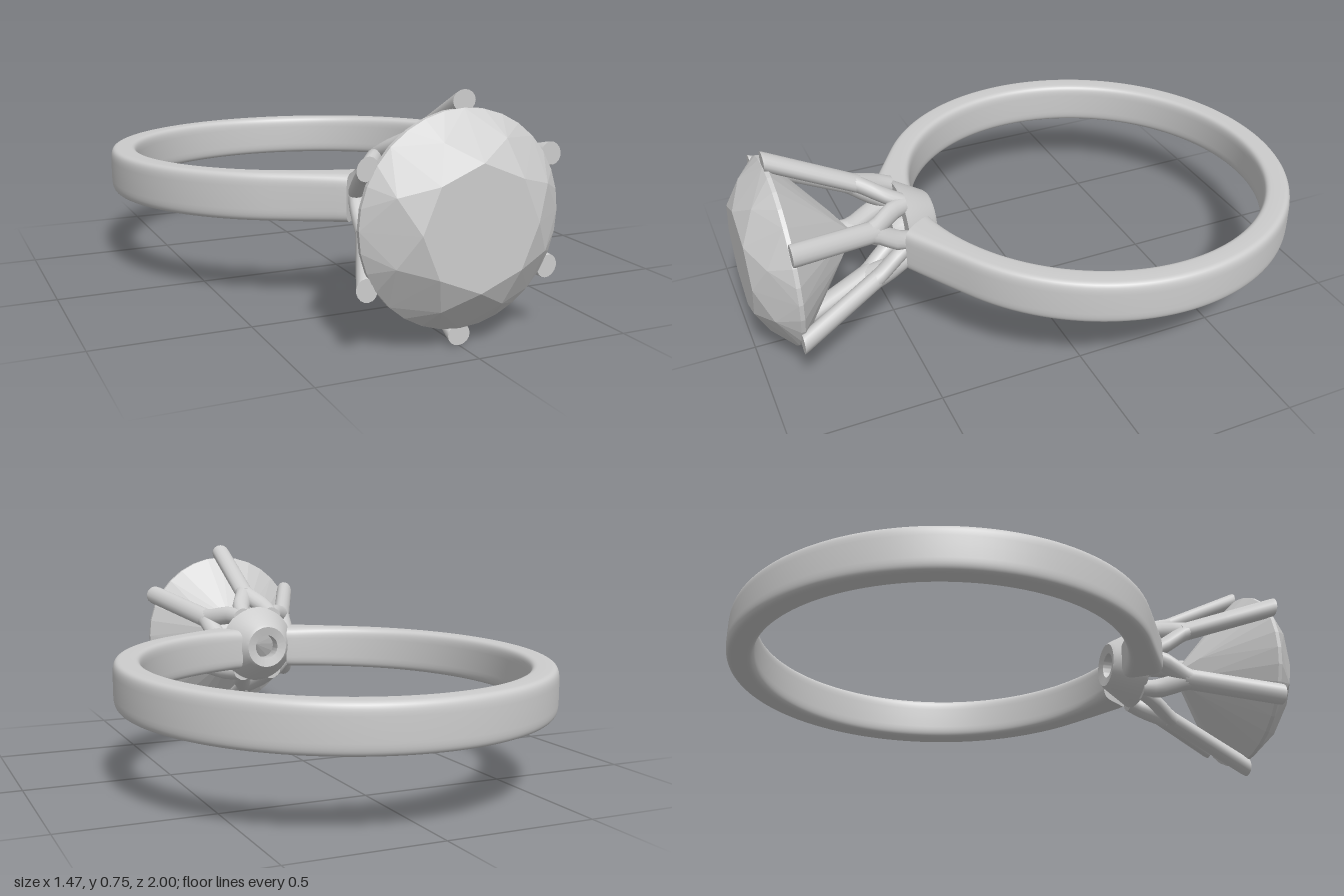
import * as THREE from 'three';
import { toCreasedNormals } from 'three/addons/utils/BufferGeometryUtils.js';
import { ConvexGeometry } from 'three/addons/geometries/ConvexGeometry.js';

const rad = THREE.MathUtils.degToRad;
const AXIS_Y = 0.375; // height of the setting's axis

// Skin a list of closed cross-sections, with flat caps at both ends
function loft(sections) {
  const n = sections[0].length, last = sections.length - 1;
  const points = sections.flat(), index = [];
  for (let i = 0; i < last; i++) {
    for (let j = 0; j < n; j++) {
      const k = (j + 1) % n;
      const a = i * n + j, b = i * n + k, c = b + n, d = a + n;
      index.push(a, b, c, a, c, d);
    }
  }
  for (const [section, isEnd] of [[sections[0], false], [sections[last], true]]) {
    const base = points.length;
    points.push(...section);
    for (let j = 1; j < n - 1; j++) {
      index.push(base, base + (isEnd ? j : j + 1), base + (isEnd ? j + 1 : j));
    }
  }
  const geometry = new THREE.BufferGeometry().setFromPoints(points);
  geometry.setIndex(index);
  geometry.computeVertexNormals();
  return geometry;
}

// Open band: inner circle, outer side running off on a tangent towards the setting
function bandGeometry() {
  const sections = [], steps = 128, sides = 40, centreZ = -0.265;
  const soft = (v) => Math.sign(v) * Math.pow(Math.abs(v), 0.4);
  for (let i = 0; i <= steps; i++) {
    const section = [];
    for (let j = 0; j < sides; j++) {
      const q = (j / sides) * Math.PI * 2;
      const u = (soft(Math.sin(q)) + 1) / 2;
      const start = rad(8.2 + 5.2 * u); // slanted cut at the ends
      const a = start + (Math.PI * 2 - 2 * start) * (i / steps);
      const fromFront = Math.min(a, Math.PI * 2 - a);
      const outer = 0.735 / Math.cos(Math.min(0, fromFront - rad(32.5)));
      const r = 0.642 + (outer - 0.642) * u;
      const z = centreZ + r * Math.cos(a);
      const y = 0.326 + 0.027 * (z + 1) + 0.078 * soft(Math.cos(q));
      section.push(new THREE.Vector3(r * Math.sin(a), y, z));
    }
    sections.push(section);
  }
  return loft(sections);
}

// Prong piece from stations [z, sideways offset, half width, half depth]
function prongGeometry(stations) {
  const sides = 16;
  return loft(stations.map(([z, offset, width, depth]) => {
    const r = 0.115 + ((z - 0.455) / 0.43) * 0.227;
    return Array.from({ length: sides }, (_, j) => {
      const q = (j / sides) * Math.PI * 2;
      return new THREE.Vector3(r + depth * Math.cos(q), offset + width * Math.sin(q), z);
    });
  }));
}

// Round brilliant: table, crown, girdle, pavilion and point
function gemGeometry() {
  const points = [new THREE.Vector3(0, 0, 0.62)];
  const ring = (count, r, z, turn = 0) => {
    for (let i = 0; i < count; i++) {
      const a = (i / count) * Math.PI * 2 + turn;
      points.push(new THREE.Vector3(r * Math.cos(a), r * Math.sin(a), z));
    }
  };
  ring(8, 0.185, 1);
  ring(8, 0.26, 0.953, Math.PI / 8);
  ring(32, 0.322, 0.886);
  ring(32, 0.322, 0.872);
  ring(8, 0.09, 0.685, Math.PI / 8);
  return new ConvexGeometry(points);
}

export function createModel() {
  const model = new THREE.Group();
  model.name = 'ring';
  const metal = new THREE.MeshStandardMaterial({ color: 0xcccccc });
  metal.name = 'pale grey';

  const add = (parent, geometry, name) => {
    const mesh = new THREE.Mesh(geometry, metal);
    mesh.name = name;
    parent.add(mesh);
    return mesh;
  };

  add(model, bandGeometry(), 'band');

  const setting = new THREE.Group();
  setting.name = 'setting';
  setting.position.y = AXIS_Y;
  model.add(setting);

  // Conical collar with a hole through it
  const profile = [
    [0.045, 0.352], [0.078, 0.345], [0.088, 0.355], [0.146, 0.455],
    [0.14, 0.462], [0.085, 0.462], [0.045, 0.4], [0.045, 0.352],
  ].map(([r, z]) => new THREE.Vector2(r, z));
  const collar = new THREE.LatheGeometry(profile, 48).rotateX(Math.PI / 2);
  add(setting, toCreasedNormals(collar, rad(40)), 'collar');

  // Six prongs, each forking into two legs that meet their neighbours
  const stem = prongGeometry([
    [0.575, 0, 0.037, 0.033], [0.72, 0, 0.037, 0.033],
    [0.875, 0, 0.037, 0.033], [0.885, 0, 0.036, 0.032],
  ]);
  const legs = [-1, 1].map((side) => prongGeometry([
    [0.452, 0.06, 0.03, 0.03], [0.49, 0.053, 0.033, 0.03], [0.52, 0.042, 0.037, 0.031],
    [0.55, 0.026, 0.037, 0.032], [0.58, 0.009, 0.036, 0.032], [0.61, 0, 0.034, 0.03],
  ].map(([z, offset, width, depth]) => [z, side * offset, width, depth])));
  for (let i = 0; i < 6; i++) {
    const prong = new THREE.Group();
    prong.name = 'prong';
    prong.rotation.z = rad(30 + 60 * i);
    add(prong, stem, 'prongStem');
    legs.forEach((leg) => add(prong, leg, 'prongLeg'));
    setting.add(prong);
  }

  add(setting, gemGeometry(), 'gemstone');
  return model;
}
